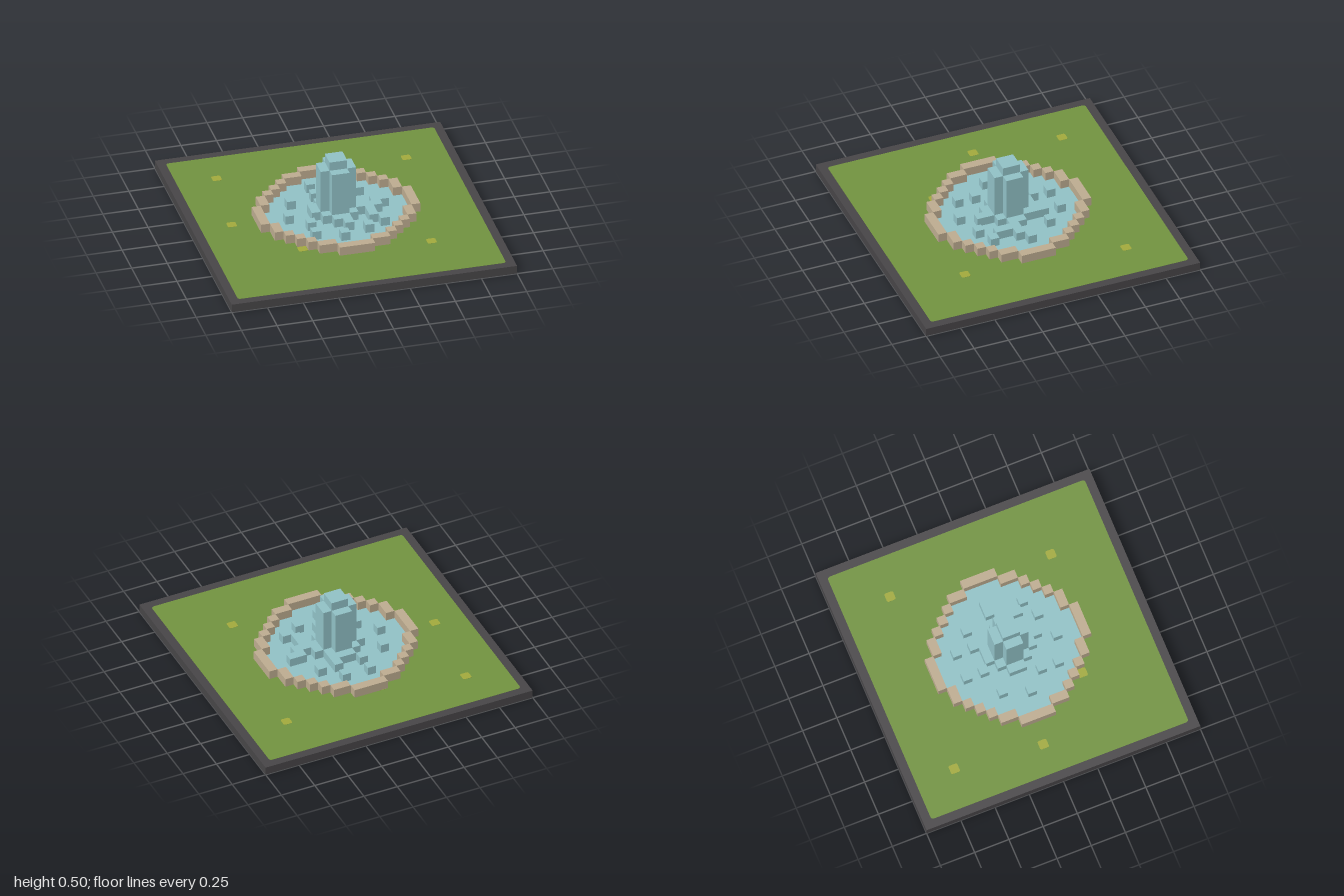
import * as THREE from 'three';

const U = 0.062;       // size of one block
const GROUND = 0.0625; // height of the lawn
const TOP = 0.125;     // height of the rim and the low splashes

const mat = (name, color) => {
  const m = new THREE.MeshStandardMaterial({ color });
  m.name = name;
  return m;
};

// Box spanning block columns x0..x1 and rows z0..z1, from y0 to y1
function block(parent, name, material, x0, x1, z0, z1, y0, y1) {
  const mesh = new THREE.Mesh(new THREE.BoxGeometry((x1 - x0) * U, y1 - y0, (z1 - z0) * U), material);
  mesh.position.set((x0 + x1) / 2 * U, (y0 + y1) / 2, (z0 + z1) / 2 * U);
  mesh.name = name;
  parent.add(mesh);
}

// Upright slab with a rounded square outline
function roundedSlab(parent, name, material, cx, cz, half, r, y0, y1) {
  const s = new THREE.Shape();
  const k = half - r;
  s.absarc(k, k, r, 0, Math.PI / 2);
  s.absarc(-k, k, r, Math.PI / 2, Math.PI);
  s.absarc(-k, -k, r, Math.PI, Math.PI * 1.5);
  s.absarc(k, -k, r, Math.PI * 1.5, Math.PI * 2);
  const g = new THREE.ExtrudeGeometry(s, { depth: y1 - y0, bevelEnabled: false, curveSegments: 4 });
  g.rotateX(-Math.PI / 2);
  const mesh = new THREE.Mesh(g, material);
  mesh.position.set(cx, y0, cz);
  mesh.name = name;
  parent.add(mesh);
}

function subgroup(parent, name) {
  const g = new THREE.Group();
  g.name = name;
  parent.add(g);
  return g;
}

export function createModel() {
  const model = new THREE.Group();
  model.name = 'fountain';
  const border = mat('dark border', 0x474547);
  const grass = mat('grass green', 0x71923f);
  const flower = mat('yellow flower', 0xa1a93c);
  const water = mat('pale blue water', 0x90c0c5);
  const stone = mat('tan stone', 0xbcab8f);

  // Ground: nested slabs, each a hair proud of the last on both sides
  const frame = new THREE.Mesh(new THREE.BoxGeometry(2, GROUND - 0.004, 2), border);
  frame.position.y = GROUND / 2;
  frame.name = 'groundBorder';
  model.add(frame);
  roundedSlab(model, 'lawn', grass, 0, 0, 0.94, 0.02, 0.001, GROUND - 0.001);

  // Flower patches
  const flowers = subgroup(model, 'flowers');
  for (const [x, z] of [[-0.66, -0.66], [0.653, -0.597], [-0.722, -0.035], [-0.343, 0.403], [0.527, 0.527], [-0.09, -0.527]])
    roundedSlab(flowers, 'flowerPatch', flower, x, z, 0.032, 0.012, 0, GROUND);

  // Pool: half width of each block row, mirrored front to back
  const pool = subgroup(model, 'pool');
  [8, 8, 7, 7, 6, 5, 4, 2].forEach((w, i) => {
    block(pool, 'poolRow', water, -w, w, i, i + 1, 0, GROUND);
    block(pool, 'poolRow', water, -w, w, -i - 1, -i, 0, GROUND);
  });

  // Stone rim: straight runs on the axes, stepped runs mirrored to each quarter
  const rim = subgroup(model, 'rim');
  for (const s of [-8.5, 8.5]) {
    block(rim, 'rimSide', stone, -2, 2, s - 0.5, s + 0.5, GROUND - 0.01, TOP);
    block(rim, 'rimSide', stone, s - 0.5, s + 0.5, -2, 2, GROUND - 0.01, TOP);
  }
  const steps = [[2, 4, 7, 8], [4, 5, 6, 7], [5, 6, 5, 6], [6, 7, 4, 5], [7, 8, 2, 4]];
  for (const sx of [-1, 1]) for (const sz of [-1, 1]) for (const [x0, x1, z0, z1] of steps)
    block(rim, 'rimStep', stone,
      Math.min(sx * x0, sx * x1), Math.max(sx * x0, sx * x1),
      Math.min(sz * z0, sz * z1), Math.max(sz * z0, sz * z1), GROUND - 0.01, TOP);

  // Water column with a cross-shaped plan and a smaller cap
  const column = subgroup(model, 'waterColumn');
  block(column, 'columnCore', water, -2, 2, -1, 1, GROUND, 0.438);
  block(column, 'columnFront', water, -1, 1, 1, 2, GROUND, 0.438);
  block(column, 'columnBack', water, -1, 1, -2, -1, GROUND, 0.438);
  block(column, 'columnCap', water, -1, 1, -1, 1, 0.438, 0.502);

  // Low splashes: [column, row] of each block, plus wider runs by the column
  const splashes = subgroup(model, 'splashes');
  const drops = [
    [-2, -6], [1, -6], [-2, -4], [3, -4], [-5, -3], [-6, 0], [-4, 2], [-4, 4], [-1, 5], [2, 4], [4, 3],
    [-2, -2], [-2, 1], [1, 1], [0, 3], [4, 0],
  ];
  for (const [x, z] of drops) block(splashes, 'splash', water, x, x + 1, z, z + 1, GROUND, TOP);
  const runs = [[1, 2, -4, -1], [-1, 1, -3, -2], [-3, -2, -1, 1], [-1, 1, 2, 3], [2, 3, -1, 1], [3, 4, 0, 3], [4, 6, -1, 0]];
  for (const [x0, x1, z0, z1] of runs) block(splashes, 'splashRun', water, x0, x1, z0, z1, GROUND, TOP);

  return model;
}
